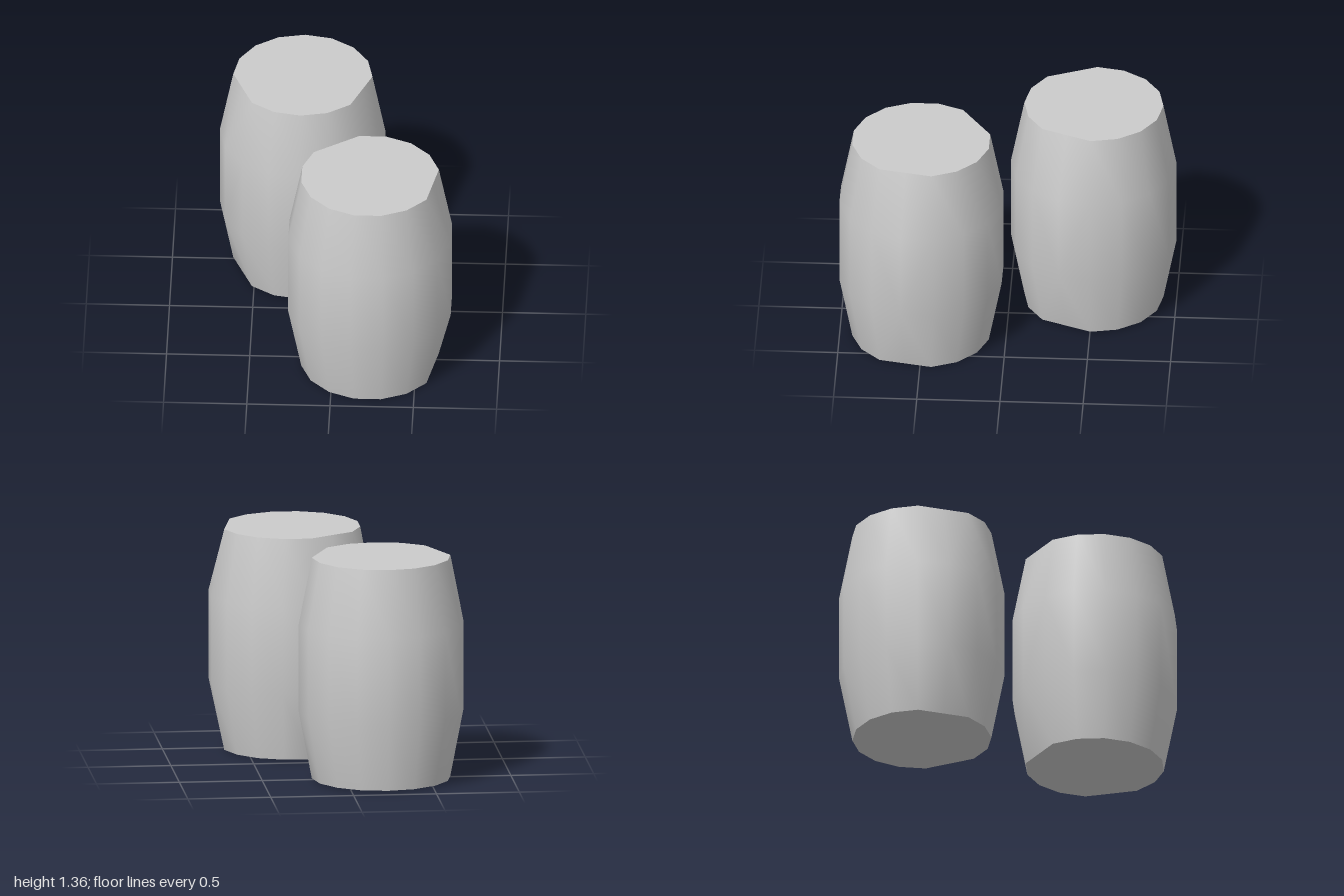
import * as THREE from 'three';
import { toCreasedNormals } from 'three/addons/utils/BufferGeometryUtils.js';

const SIDES = 16, STEP = (Math.PI * 2) / SIDES;
// Barrel profile from bottom to top: [radius, height]
const PROFILE = [[0.418, 0], [0.4975, 0.41], [0.4975, 0.945], [0.418, 1.352]];

// Sixteen-sided barrel; the staves listed in "flat" are cut straight across at both rims
function barrelGeometry(flat) {
  const pos = [], idx = [];
  const at = (ring, k) => ring * SIDES + (k % SIDES);
  PROFILE.forEach(([r, y], ring) => {
    const isRim = ring === 0 || ring === PROFILE.length - 1;
    for (let k = 0; k < SIDES; k++) {
      const rr = isRim && flat.includes(k) ? r * Math.cos(STEP) : r;
      pos.push(rr * Math.cos(k * STEP), y, rr * Math.sin(k * STEP));
    }
  });
  const last = PROFILE.length - 1;
  const bottom = pos.length / 3, top = bottom + 1;
  pos.push(0, 0, 0, 0, PROFILE[last][1], 0);

  for (let k = 0; k < SIDES; k++) {
    for (let ring = 0; ring < last; ring++) {
      const a = at(ring, k), b = at(ring + 1, k), c = at(ring + 1, k + 1), d = at(ring, k + 1);
      // Diagonals next to a flat stave start from its belly corner
      const flatNext = flat.includes((k + 1) % SIDES);
      const flatHere = flat.includes(k);
      const useAC = ring === 0 ? !flatHere : flatHere;
      const diagonalAC = flatNext || flatHere ? useAC : true;
      if (diagonalAC) idx.push(a, b, c, a, c, d);
      else idx.push(a, b, d, b, c, d);
    }
    // Lid and base
    idx.push(bottom, at(0, k), at(0, k + 1));
    idx.push(top, at(last, k + 1), at(last, k));
  }
  const geo = new THREE.BufferGeometry();
  geo.setAttribute('position', new THREE.Float32BufferAttribute(pos, 3));
  geo.setIndex(idx);
  return toCreasedNormals(geo, 0.6);
}

export function createModel() {
  const group = new THREE.Group();
  group.name = 'barrels';
  const material = new THREE.MeshStandardMaterial({ color: 0xcccccc });

  const addBarrel = (name, flat, x, y, z, turn) => {
    const barrel = new THREE.Mesh(barrelGeometry(flat), material);
    barrel.name = name;
    barrel.position.set(x, y, z);
    barrel.rotation.y = turn;
    group.add(barrel);
  };
  addBarrel('frontBarrel', [1, 11], 0.223, 0, 0.512, THREE.MathUtils.degToRad(11));
  addBarrel('backBarrel', [1, 7], -0.217, 0.008, -0.503, 0);
  return group;
}
